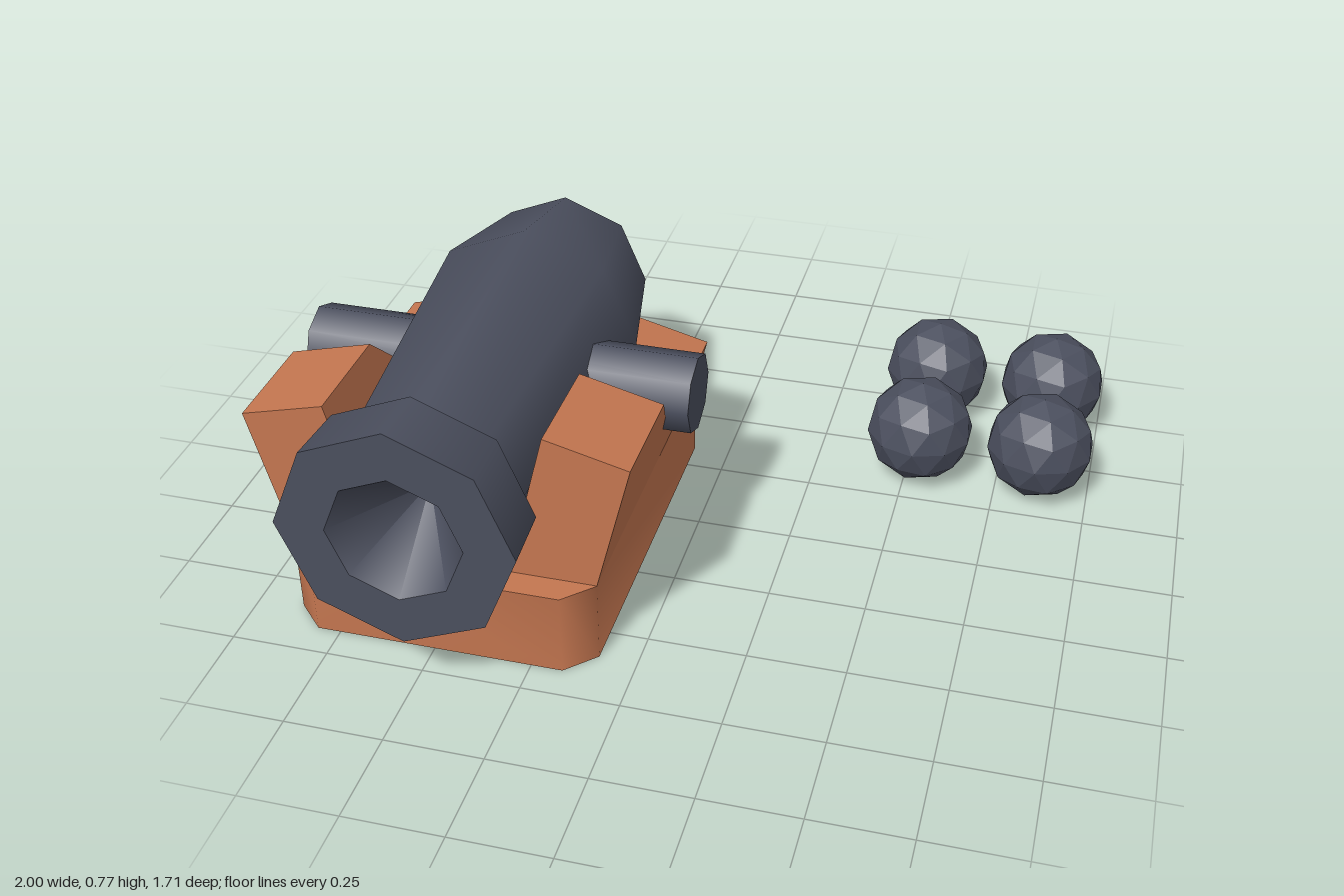
import * as THREE from 'three';
import { toCreasedNormals } from 'three/addons/utils/BufferGeometryUtils.js';

const iron = new THREE.MeshStandardMaterial({ color: 0x4b4f5e });
iron.name = 'dark iron';
const ironFacet = iron; // faceted parts carry their own flat normals
const wood = new THREE.MeshStandardMaterial({ color: 0xc47650 });
wood.name = 'red brown wood';

function add(parent, name, geometry, material) {
  const mesh = new THREE.Mesh(geometry, material);
  mesh.name = name;
  parent.add(mesh);
  return mesh;
}

const toShape = (pts) => new THREE.Shape(pts.map(([x, y]) => new THREE.Vector2(x, y)));

export function createModel() {
  const model = new THREE.Group();
  model.name = 'cannonWithBalls';

  const cannon = new THREE.Group();
  cannon.name = 'cannon';
  cannon.position.x = -0.49;
  model.add(cannon);

  // Barrel: eight-sided turned sections as [radius, z], creased between sections
  const barrel = new THREE.Group();
  barrel.name = 'barrel';
  barrel.position.y = 0.472;
  cannon.add(barrel);
  const sections = {
    knobEnd: [[0, -0.55], [0.12, -0.55]],
    knob: [[0.12, -0.55], [0.136, -0.437]],
    breechFace: [[0.136, -0.437], [0.224, -0.437]],
    barrelBody: [[0.224, -0.437], [0.295, -0.1], [0.222, 0.685]],
    muzzleRingBack: [[0.222, 0.685], [0.283, 0.685]],
    muzzleRing: [[0.283, 0.685], [0.293, 0.853]],
    muzzleFace: [[0.293, 0.853], [0.168, 0.853]],
    bore: [[0.168, 0.853], [0, 0.62]],
  };
  for (const [name, pts] of Object.entries(sections)) {
    const profile = pts.map(([r, z]) => new THREE.Vector2(r, z));
    add(barrel, name, new THREE.LatheGeometry(profile, 8).rotateX(Math.PI / 2), iron);
  }

  // Trunnion: cross pin through the barrel
  const pin = add(cannon, 'trunnion', new THREE.CylinderGeometry(0.104, 0.104, 1.02, 8), iron);
  pin.rotation.z = Math.PI / 2;
  pin.position.set(0, 0.468, 0.083);

  // Carriage base: slab with cut corners
  const w = 0.392, back = -0.407, front = 0.665, c = 0.072;
  const baseShape = toShape([
    [-w + c, -front], [w - c, -front], [w, -front + c], [w, -back - c],
    [w - c, -back], [-w + c, -back], [-w, -back - c], [-w, -front + c],
  ]);
  const base = new THREE.ExtrudeGeometry(baseShape, { depth: 0.22, bevelEnabled: false });
  add(cannon, 'carriageBase', toCreasedNormals(base.rotateX(-Math.PI / 2), 0.9), wood);

  // Cheeks: stepped side boards leaning outwards, their feet sunk in the base
  const thick = 0.218, lean = 0.252;
  const cheekShape = toShape([
    [-0.592, -0.07], [0.333, -0.07], [0.333, 0.145],
    [-0.09, 0.145], [-0.303, 0.361], [-0.592, 0.361],
  ]);
  for (const side of [-1, 1]) {
    const geo = new THREE.ExtrudeGeometry(cheekShape, { depth: thick, bevelEnabled: false });
    geo.rotateY(Math.PI / 2);
    if (side > 0) geo.translate(-thick, 0, 0);
    geo.rotateZ(-side * lean).translate(side * w, 0.22, 0);
    add(cannon, side > 0 ? 'leftCheek' : 'rightCheek', geo, wood);
  }

  // Cannonballs: faceted, with a corner pointing straight up
  const balls = new THREE.Group();
  balls.name = 'cannonballs';
  model.add(balls);
  const ballGeo = new THREE.IcosahedronGeometry(0.145, 1);
  ballGeo.rotateZ(-Math.atan(2 / (1 + Math.sqrt(5))));
  ballGeo.computeVertexNormals();
  for (const x of [0.531, 0.86]) {
    for (const z of [-0.708, -0.383]) {
      add(balls, 'cannonball', ballGeo, ironFacet).position.set(x, 0.145, z);
    }
  }

  return model;
}
